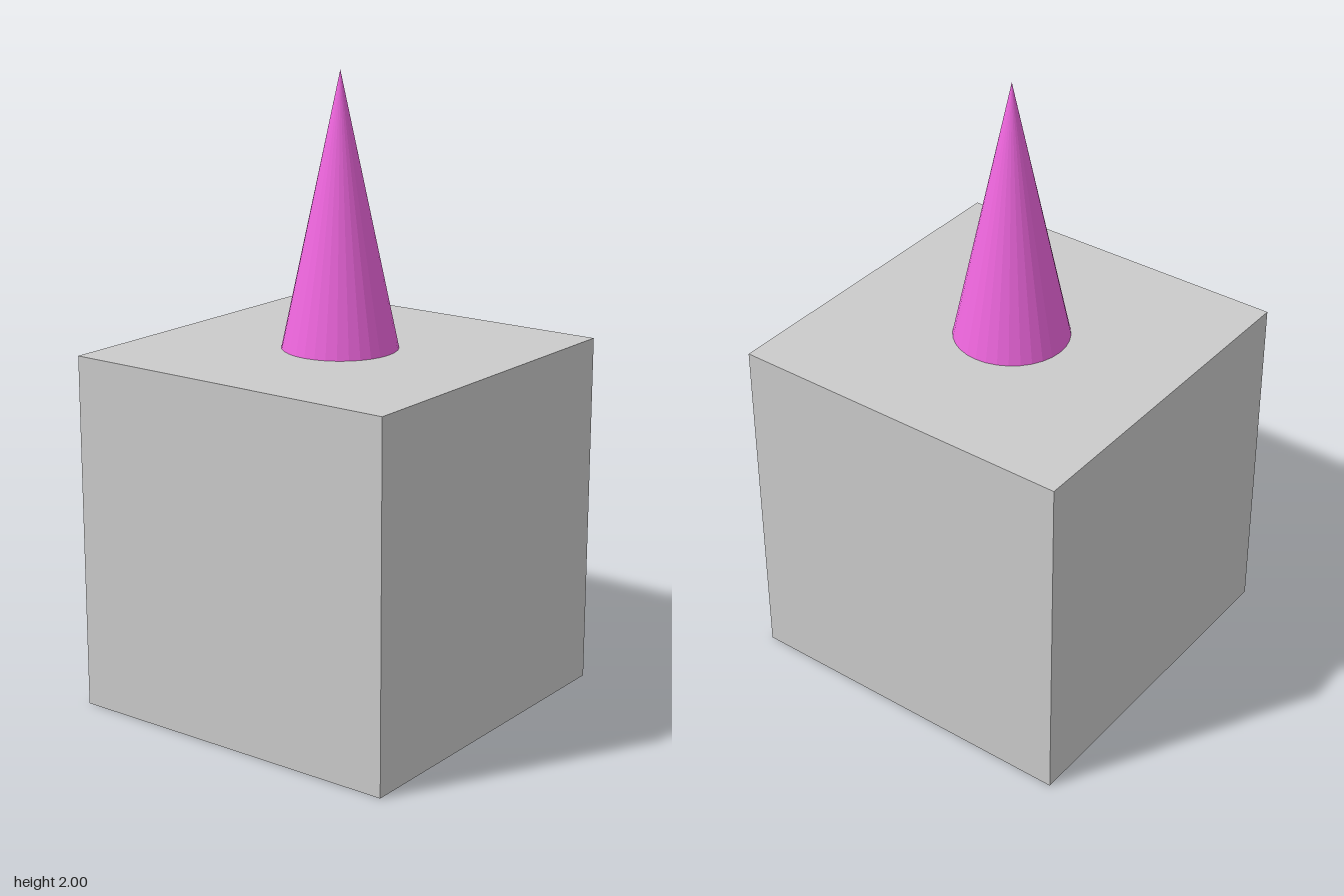
import * as THREE from 'three';

export function createModel() {
  const model = new THREE.Group();
  const size = 1.143;
  const spikeHeight = 2 - size;

  // Cube base standing on the ground
  const base = new THREE.Mesh(
    new THREE.BoxGeometry(size, size, size),
    new THREE.MeshStandardMaterial({ color: 0xcccccc })
  );
  base.name = 'base';
  base.position.y = size / 2;
  model.add(base);

  // Faceted spike centred on top of the cube
  const spike = new THREE.Mesh(
    new THREE.ConeGeometry(0.183, spikeHeight, 32),
    new THREE.MeshStandardMaterial({ color: 0xee66dd, flatShading: true })
  );
  spike.name = 'spike';
  spike.position.y = size + spikeHeight / 2;
  model.add(spike);

  return model;
}
